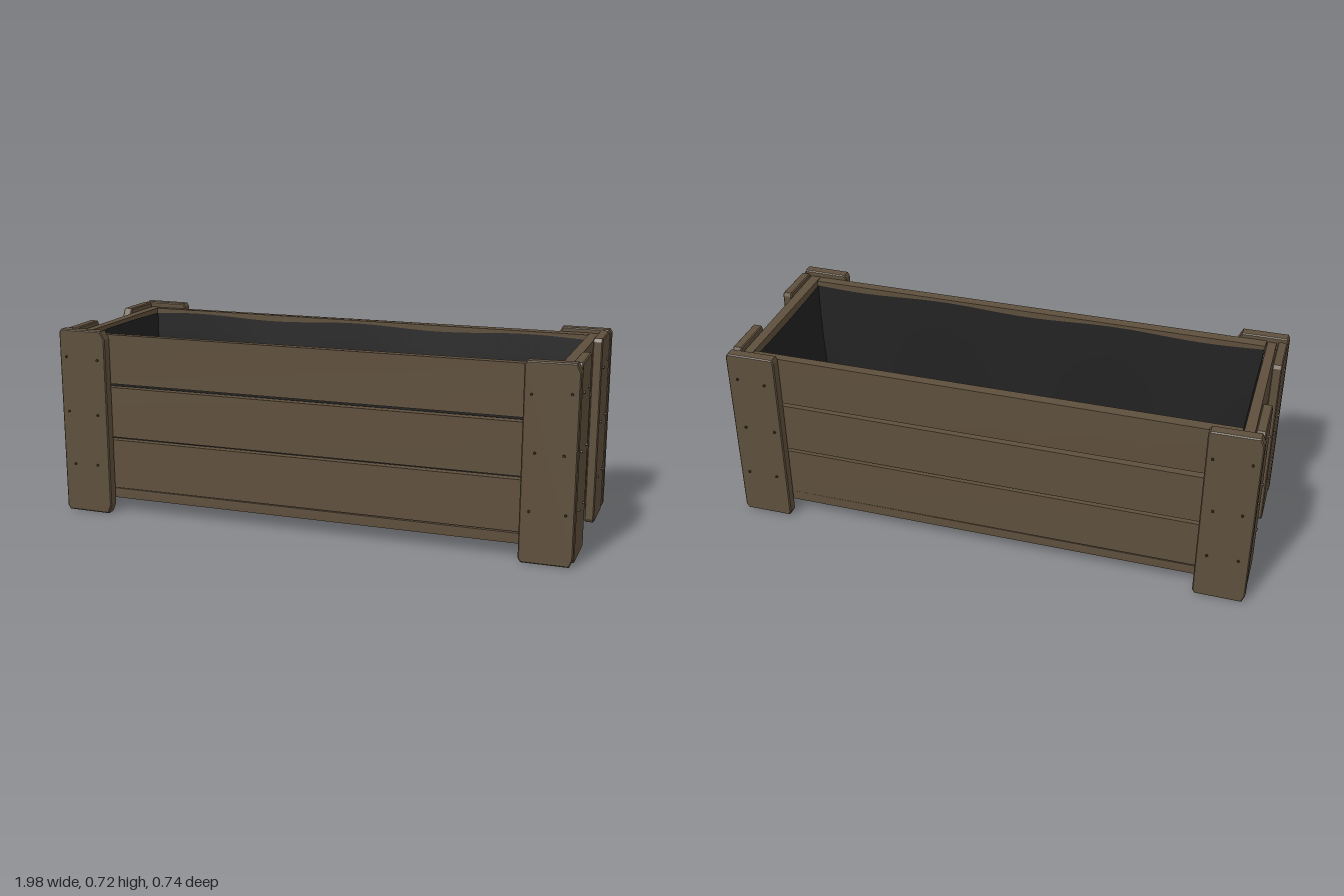
import * as THREE from 'three';

const wood = new THREE.MeshStandardMaterial({ color: 0x5e4f3c });
wood.name = 'brown wood';
const lining = new THREE.MeshStandardMaterial({ color: 0x222222, side: THREE.DoubleSide });
lining.name = 'black liner';
const iron = new THREE.MeshStandardMaterial({ color: 0x3a3026 });
iron.name = 'dark nails';

// Small seeded generator for the hand-sawn irregularity
let seed = 7;
const rnd = (a) => {
  seed = (seed * 16807) % 2147483647;
  return (seed / 2147483647 - 0.5) * 2 * a;
};

function add(parent, name, geometry, material) {
  const mesh = new THREE.Mesh(geometry, material);
  mesh.name = name;
  parent.add(mesh);
  return mesh;
}

// Board between two corners, its vertices nudged consistently by position
function board(parent, name, min, max) {
  const size = max.map((v, i) => v - min[i]);
  const g = new THREE.BoxGeometry(...size);
  g.translate(...max.map((v, i) => (v + min[i]) / 2));
  const p = g.attributes.position;
  const moved = {};
  for (let i = 0; i < p.count; i++) {
    const key = [p.getX(i), p.getY(i), p.getZ(i)].map((v) => v.toFixed(3)).join();
    moved[key] ??= [rnd(0.003), rnd(0.002), rnd(0.002)];
    const [dx, dy, dz] = moved[key];
    p.setXYZ(i, p.getX(i) + dx, p.getY(i) + dy, p.getZ(i) + dz);
  }
  g.computeVertexNormals();
  return add(parent, name, g, wood);
}

// Upright post with nipped corners and nails: width along local x, outer face toward +z
function post(name, width, thickness, nip) {
  const group = new THREE.Group();
  group.name = name;
  const w = width / 2 - 0.004;
  const y0 = 0.012 + rnd(0.004);
  const y1 = 0.714 + rnd(0.004);
  const shape = new THREE.Shape([
    [-w + 0.008, y0], [w - nip * 0.4, y0 + rnd(0.002)], [w, y0 + nip],
    [w, y1 - nip], [w - nip * 0.5, y1 + rnd(0.002)], [-w + 0.006, y1], [-w, y1 - 0.01], [-w, y0 + 0.012],
  ].map(([x, y]) => new THREE.Vector2(x, y)));
  const g = new THREE.ExtrudeGeometry(shape, {
    depth: thickness - 0.008, bevelEnabled: true, bevelSegments: 1,
    bevelSize: 0.004, bevelThickness: 0.004,
  });
  g.translate(0, 0, 0.004);
  add(group, name + 'Board', g, wood);
  for (const y of [0.19, 0.4, 0.612]) {
    for (const x of [-0.06, 0.058]) {
      const nail = add(group, 'nail', new THREE.CylinderGeometry(0.005, 0.005, 0.008, 6), iron);
      nail.rotation.x = Math.PI / 2;
      nail.position.set(x + rnd(0.012), y + rnd(0.006), thickness + 0.002);
    }
  }
  return group;
}

// Sagging sheet: an open-topped box pulled inward toward the floor
function liner(parent) {
  const H = 0.59, W = 1.806, D = 0.566;
  const g = new THREE.BoxGeometry(W, H, D, 36, 8, 12);
  const top = g.groups[2];
  const idx = Array.from(g.index.array);
  idx.splice(top.start, top.count);
  g.setIndex(idx);
  g.clearGroups();
  const p = g.attributes.position;
  for (let i = 0; i < p.count; i++) {
    const x = p.getX(i), y = p.getY(i), z = p.getZ(i);
    const depth = 0.5 - y / H;
    const wave = 0.5 + 0.5 * Math.sin(x * 9 + z * 5);
    const across = Math.cos((z / D) * Math.PI);
    const pull = depth * depth;
    const nx = x * (1 - 0.07 * pull * (0.5 + 0.5 * across));
    const nz = z * (1 - 0.1 * pull * wave - 0.02 * Math.sin(depth * Math.PI));
    const edge = 0.012 * wave * (1 - depth);
    p.setXYZ(i, nx, y + 0.395 - edge + 0.008 * depth * wave, nz);
  }
  g.computeVertexNormals();
  add(parent, 'liner', g, lining);
}

export function createModel() {
  const model = new THREE.Group();
  model.name = 'planter';

  // Three courses of wall planks with narrow gaps
  for (const [y0, y1] of [[0.1, 0.289], [0.304, 0.496], [0.513, 0.702]]) {
    for (const s of [1, -1]) {
      const zs = [s * 0.285, s * 0.322].sort((a, b) => a - b);
      const xs = [s * 0.91, s * 0.947].sort((a, b) => a - b);
      board(model, 'sidePlank', [-0.908, y0, zs[0]], [0.908, y1, zs[1]]);
      board(model, 'endPlank', [xs[0], y0, -0.32], [xs[1], y1, 0.32]);
    }
  }

  // Floor boards
  for (const [z0, z1] of [[-0.32, -0.112], [-0.098, 0.108], [0.12, 0.322]]) {
    board(model, 'floorBoard', [-0.945, 0.058, z0], [0.945, 0.095, z1]);
  }

  liner(model);

  // Pairs of posts around the four corners
  for (const sx of [1, -1]) {
    for (const sz of [1, -1]) {
      const side = post('sidePost', 0.192, 0.042, 0.02 + rnd(0.012));
      side.position.set(sx * 0.893, 0, sz * 0.324);
      side.rotation.y = sz > 0 ? 0 : Math.PI;
      model.add(side);

      const end = post('endPost', 0.192, 0.036, 0.02 + rnd(0.012));
      end.position.set(sx * 0.95, 0, sz * 0.224);
      end.rotation.y = sx * Math.PI / 2;
      model.add(end);
    }
  }
  return model;
}
